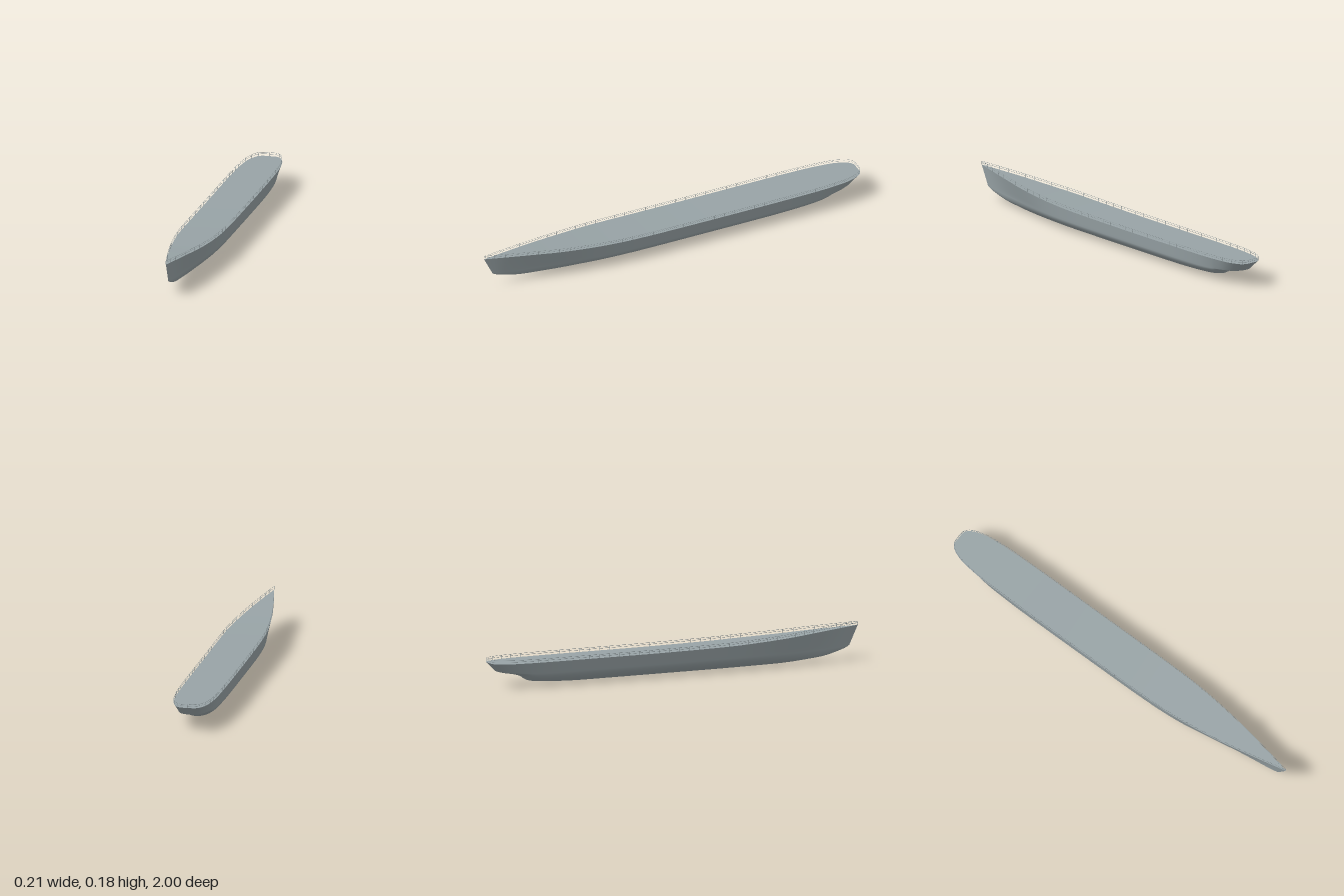
import * as THREE from 'three';
import { mergeGeometries } from 'three/addons/utils/BufferGeometryUtils.js';

// Hull stations, stern to bow:
// z at deck, z at bilge, half-width at deck, half-width at bilge, deck y, bilge y, keel y
const STATIONS = [
  [-1.0, -0.96, 0.033, 0.02, 0.117, 0.075, 0.073],
  [-0.985, -0.95, 0.056, 0.034, 0.117, 0.073, 0.070],
  [-0.95, -0.925, 0.075, 0.053, 0.117, 0.07, 0.064],
  [-0.9, -0.88, 0.089, 0.07, 0.117, 0.067, 0.056],
  [-0.84, -0.83, 0.096, 0.08, 0.117, 0.064, 0.041],
  [-0.79, -0.79, 0.1, 0.087, 0.117, 0.062, 0.018],
  [-0.7, -0.7, 0.103, 0.094, 0.117, 0.06, 0.007],
  [-0.5, -0.5, 0.105, 0.099, 0.117, 0.06, 0],
  [-0.15, -0.15, 0.105, 0.099, 0.117, 0.06, 0],
  [0.2, 0.2, 0.104, 0.097, 0.12, 0.06, 0],
  [0.4, 0.4, 0.097, 0.086, 0.126, 0.06, 0.001],
  [0.6, 0.59, 0.075, 0.056, 0.135, 0.06, 0.003],
  [0.75, 0.73, 0.05, 0.031, 0.145, 0.06, 0.012],
  [0.85, 0.82, 0.031, 0.018, 0.151, 0.06, 0.022],
  [0.93, 0.9, 0.015, 0.009, 0.156, 0.06, 0.042],
  [0.97, 0.935, 0.0065, 0.004, 0.158, 0.062, 0.054],
  [1.0, 0.955, 0, 0, 0.16, 0.067, 0.065],
];
const SUB = 5, SIDE = 5, BILGE = 10;

// Smoothly subdivided stations
function smoothStations() {
  const out = [], n = STATIONS.length - 1;
  for (let k = 0; k <= n * SUB; k++) {
    const i = Math.min(Math.floor(k / SUB), n - 1), t = k / SUB - i;
    const at = (j) => STATIONS[Math.max(0, Math.min(n, j))];
    out.push(STATIONS[0].map((_, c) => {
      const [a, b, d, e] = [at(i - 1)[c], at(i)[c], at(i + 1)[c], at(i + 2)[c]];
      const v = 0.5 * (2 * b + (d - a) * t + (2 * a - 5 * b + 4 * d - e) * t * t
        + (3 * b - a - 3 * d + e) * t * t * t);
      return c === 6 ? Math.max(0, v) : v;
    }));
  }
  return out;
}

// Half section from deck edge to keel: straight side, then a slack rounded bilge
function halfSection([zd, zb, wd, wb, yd, yb, yk]) {
  const pts = [];
  for (let j = 0; j < SIDE; j++) {
    const t = j / SIDE;
    pts.push([wd + (wb - wd) * t, yd + (yb - yd) * t, zd + (zb - zd) * t]);
  }
  for (let j = 0; j <= BILGE; j++) {
    const a = (j / BILGE) * Math.PI / 2;
    const x = j === BILGE ? 0 : wb * Math.cos(a) ** 1.2;
    pts.push([x, yb - (yb - yk) * Math.sin(a) ** 1.2, zb]);
  }
  return pts;
}

function fullSection(s) {
  const half = halfSection(s);
  return [...half, ...half.slice(0, -1).reverse().map(([x, y, z]) => [-x, y, z])];
}

function makeGeometry(points, index) {
  const g = new THREE.BufferGeometry();
  g.setAttribute('position', new THREE.Float32BufferAttribute(points.flat(), 3));
  g.setIndex(index);
  g.computeVertexNormals();
  return g;
}

// Skin through rows of points
function skin(rows) {
  const n = rows[0].length, index = [];
  for (let i = 0; i < rows.length - 1; i++) {
    for (let j = 0; j < n - 1; j++) {
      const a = i * n + j, b = a + n;
      index.push(a, b, a + 1, b, b + 1, a + 1);
    }
  }
  return makeGeometry(rows.flat(), index);
}

export function createModel() {
  const group = new THREE.Group();
  const shipGrey = new THREE.MeshStandardMaterial({ color: 0x98a3a6 });
  shipGrey.name = 'ship grey';
  const add = (name, geometry) => {
    const mesh = new THREE.Mesh(geometry, shipGrey);
    mesh.name = name;
    group.add(mesh);
  };

  const stations = smoothStations();
  const sections = stations.map(fullSection);
  add('hull', skin(sections));

  // Flat transom closing the stern
  const rim = sections[0], fan = [];
  for (let j = 1; j < rim.length; j++) fan.push(0, j, j + 1);
  add('transom', makeGeometry([[0, rim[0][1], rim[0][2]], ...rim], fan));

  // Deck following the sheer
  add('deck', skin(stations.map(([z, , w, , y]) => [[-w, y, z], [w, y, z]])));

  // Railing path: bow, down one side, round the stern and back to the bow
  const edge = stations.map(([z, , w, , y]) => [Math.max(0, w - 0.001), y, z]);
  const path = [
    ...edge.slice().reverse().map(([x, y, z]) => new THREE.Vector3(x, y, z)),
    ...edge.slice(0, -1).map(([x, y, z]) => new THREE.Vector3(-x, y, z)),
    new THREE.Vector3(0, edge.at(-1)[1], edge.at(-1)[2]),
  ];
  const railCurve = (h) => new THREE.CatmullRomCurve3(
    path.map((p) => new THREE.Vector3(p.x, p.y + h, p.z)), false, 'centripetal');
  const HEIGHT = 0.018, R = 0.0008;
  add('topRail', new THREE.TubeGeometry(railCurve(HEIGHT), 240, R, 4));
  add('middleRail', new THREE.TubeGeometry(railCurve(HEIGHT * 0.55), 240, R, 4));

  // Railing posts at even spacing
  const base = railCurve(0), posts = [], COUNT = 76;
  for (let i = 0; i <= COUNT; i++) {
    const p = base.getPointAt(i / COUNT);
    posts.push(new THREE.CylinderGeometry(R, R, HEIGHT, 4).translate(p.x, p.y + HEIGHT / 2, p.z));
  }
  add('railPosts', mergeGeometries(posts));
  return group;
}
